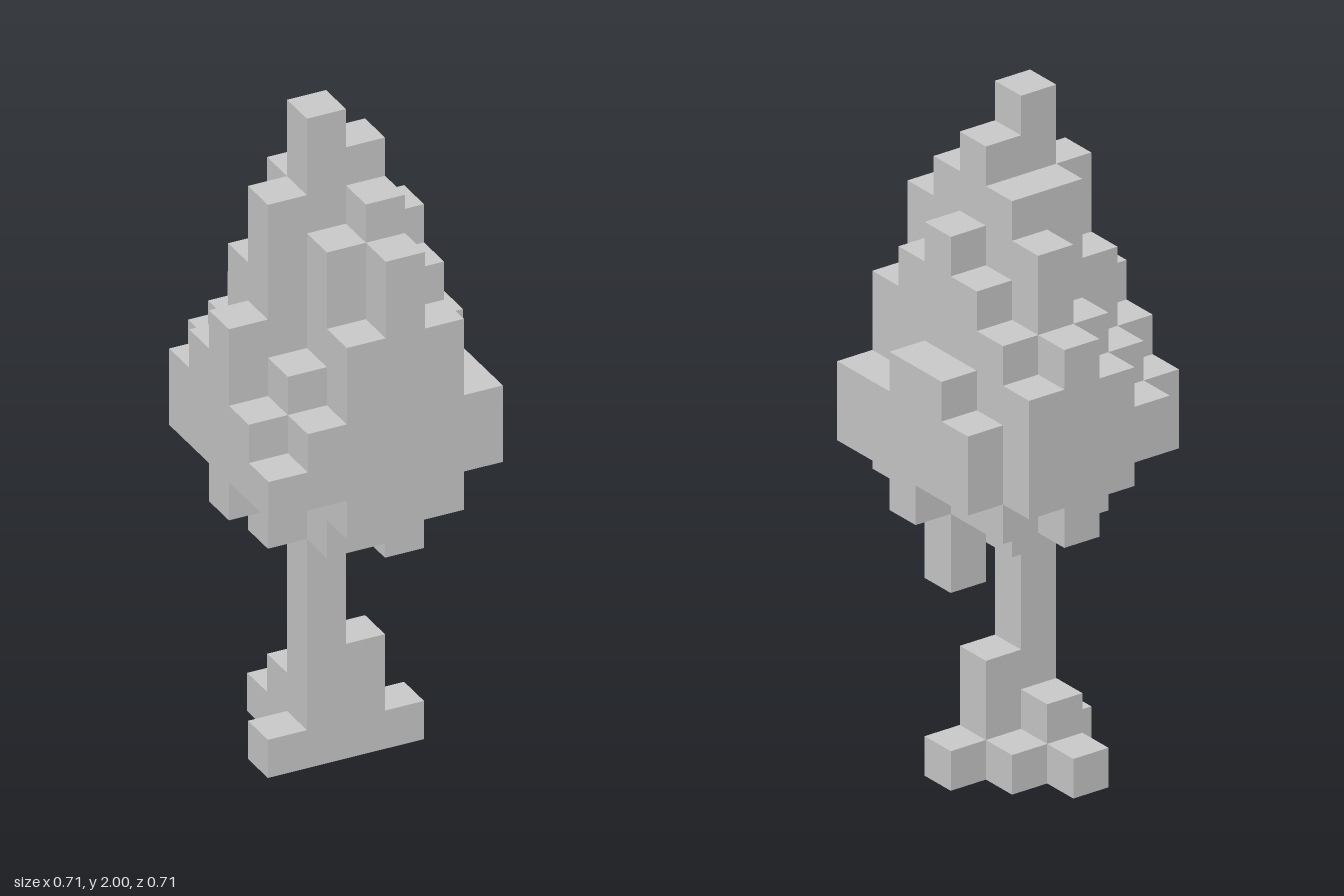
import * as THREE from 'three';
import { mergeGeometries } from 'three/addons/utils/BufferGeometryUtils.js';

const U = 2 / 17; // edge of one cube

// One upright column of cubes in grid cell (x, z), from level y0 up to y1
function column(x, z, y0, y1) {
  const g = new THREE.BoxGeometry(U, (y1 - y0) * U, U);
  return g.translate((x + 0.5) * U, ((y0 + y1) / 2) * U, (z + 0.5) * U);
}

function part(name, columns) {
  const material = new THREE.MeshStandardMaterial({ color: 0xcccccc, flatShading: true });
  const mesh = new THREE.Mesh(mergeGeometries(columns.map((c) => column(...c))), material);
  mesh.name = name;
  return mesh;
}

// Crown: rows run from back (z = -3) to front (z = 2), columns from x = -3 to x = 2
const crownBottom = [
  [0, 9, 8, 7, 8, 0],
  [8, 8, 7, 7, 7, 8],
  [8, 7, 6, 6, 7, 8],
  [7, 6, 6, 6, 5, 7],
  [8, 8, 6, 6, 7, 8],
  [8, 8, 7, 7, 7, 8],
];
const crownTop = [
  [0, 10, 11, 12, 11, 0],
  [10, 11, 12, 14, 12, 10],
  [11, 13, 15, 15, 13, 11],
  [12, 15, 17, 16, 14, 11],
  [10, 11, 14, 15, 13, 10],
  [9, 10, 12, 14, 12, 10],
];

export function createModel() {
  const tree = new THREE.Group();
  tree.name = 'tree';

  // Trunk
  tree.add(part('trunk', [[-1, 0, 0, 6]]));

  // Stepped roots around the foot
  tree.add(part('roots', [
    [-2, 0, 0, 1],
    [0, 0, 0, 3],
    [1, 0, 0, 1],
    [-1, -1, 0, 2],
    [0, -1, 0, 1],
    [-1, -2, 0, 1],
  ]));

  // Leafy crown
  const leaves = [];
  crownTop.forEach((row, k) => row.forEach((top, i) => {
    const bottom = crownBottom[k][i];
    if (top > bottom) leaves.push([i - 3, k - 3, bottom, top]);
  }));
  tree.add(part('crown', leaves));

  return tree;
}
